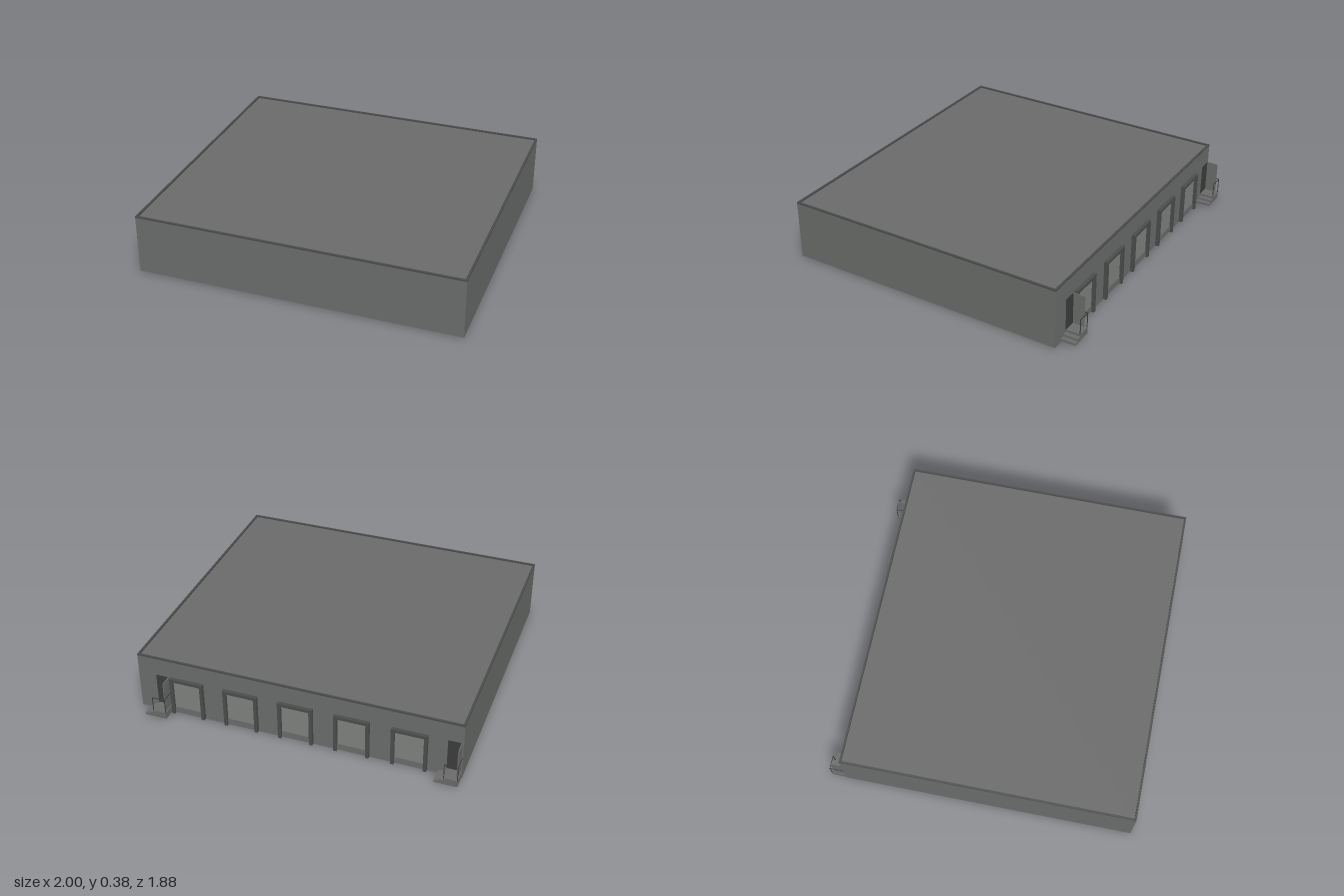
import * as THREE from 'three';

const BACK = -0.85, FRONT = 0.94, TOP = 0.38, ROOF = 0.37;
const DOCK_X = [-0.69, -0.346, -0.002, 0.342, 0.686];
const ENTRY_X = [-0.998, 0.797];

const paint = (color) => new THREE.MeshStandardMaterial({ color, flatShading: true });
const wallGrey = paint(0x6b6e6c);
const roofGrey = paint(0x6b6b6b);
const floorGrey = paint(0x7a7a7a);
const doorGrey = paint(0x808380);
const trimGrey = paint(0x4c4e4d);
const darkGrey = paint(0x3c3e3d);

// Box given by its minimum and maximum corners
function box(parent, name, material, x0, x1, y0, y1, z0, z1) {
  const mesh = new THREE.Mesh(new THREE.BoxGeometry(x1 - x0, y1 - y0, z1 - z0), material);
  mesh.position.set((x0 + x1) / 2, (y0 + y1) / 2, (z0 + z1) / 2);
  mesh.name = name;
  parent.add(mesh);
}

// Main hall: floor slab, walls, flat roof and a low parapet around it
function createHall() {
  const hall = new THREE.Group();
  hall.name = 'hall';
  const t = 0.012;
  box(hall, 'floor', floorGrey, -1, 1, 0, 0.004, BACK, FRONT);
  box(hall, 'walls', wallGrey, -1, 1, 0.004, ROOF - 0.002, BACK, FRONT);
  box(hall, 'roof', roofGrey, -1, 1, ROOF - 0.002, ROOF, BACK, FRONT);
  box(hall, 'frontParapet', trimGrey, -1, 1, ROOF, TOP, FRONT - t, FRONT);
  box(hall, 'backParapet', trimGrey, -1, 1, ROOF, TOP, BACK, BACK + t);
  for (const x of [-1, 1 - t]) {
    box(hall, 'sideParapet', trimGrey, x, x + t, ROOF, TOP, BACK + t, FRONT - t);
  }
  return hall;
}

// Loading dock: projecting surround, door panel and a sill below it
function createDock(x) {
  const dock = new THREE.Group();
  dock.name = 'loadingDock';
  const w = 0.107, j = 0.02, out = -0.022;
  for (const x0 of [-w, w - j]) box(dock, 'jamb', trimGrey, x0, x0 + j, 0.005, 0.24, out, 0);
  box(dock, 'lintel', trimGrey, -w, w, 0.24, 0.26, out, 0);
  box(dock, 'door', doorGrey, -w + j, w - j, 0.05, 0.24, -0.004, 0);
  box(dock, 'sill', wallGrey, -w + j, w - j, 0.01, 0.05, -0.008, 0);
  dock.position.set(x, 0, BACK);
  return dock;
}

// Side entrance: landing, steps, dark doorway, open door and handrail
function createEntry(x) {
  const entry = new THREE.Group();
  entry.name = 'sideEntrance';
  const depth = 0.09, r = 0.004;
  box(entry, 'landing', roofGrey, 0, 0.083, 0.01, 0.053, -depth, 0);
  box(entry, 'upperStep', roofGrey, 0.083, 0.11, 0.01, 0.038, -depth, 0);
  box(entry, 'lowerStep', roofGrey, 0.11, 0.137, 0.01, 0.024, -depth, 0);
  box(entry, 'doorway', darkGrey, 0.012, 0.088, 0.055, 0.255, -0.003, 0);
  box(entry, 'openDoor', wallGrey, 0.006, 0.012, 0.055, 0.255, -0.073, 0);
  for (const px of [0, 0.079]) {
    box(entry, 'railPost', darkGrey, px, px + r, 0.053, 0.146, -depth, -depth + r);
  }
  box(entry, 'outerRail', darkGrey, 0, 0.083, 0.146, 0.15, -depth, -depth + r);
  box(entry, 'sideRail', darkGrey, 0, r, 0.146, 0.15, -depth + r, 0);
  entry.position.set(x, 0, BACK);
  return entry;
}

export function createModel() {
  const model = new THREE.Group();
  model.name = 'warehouse';
  model.add(createHall());
  for (const x of DOCK_X) model.add(createDock(x));
  for (const x of ENTRY_X) model.add(createEntry(x));
  return model;
}
